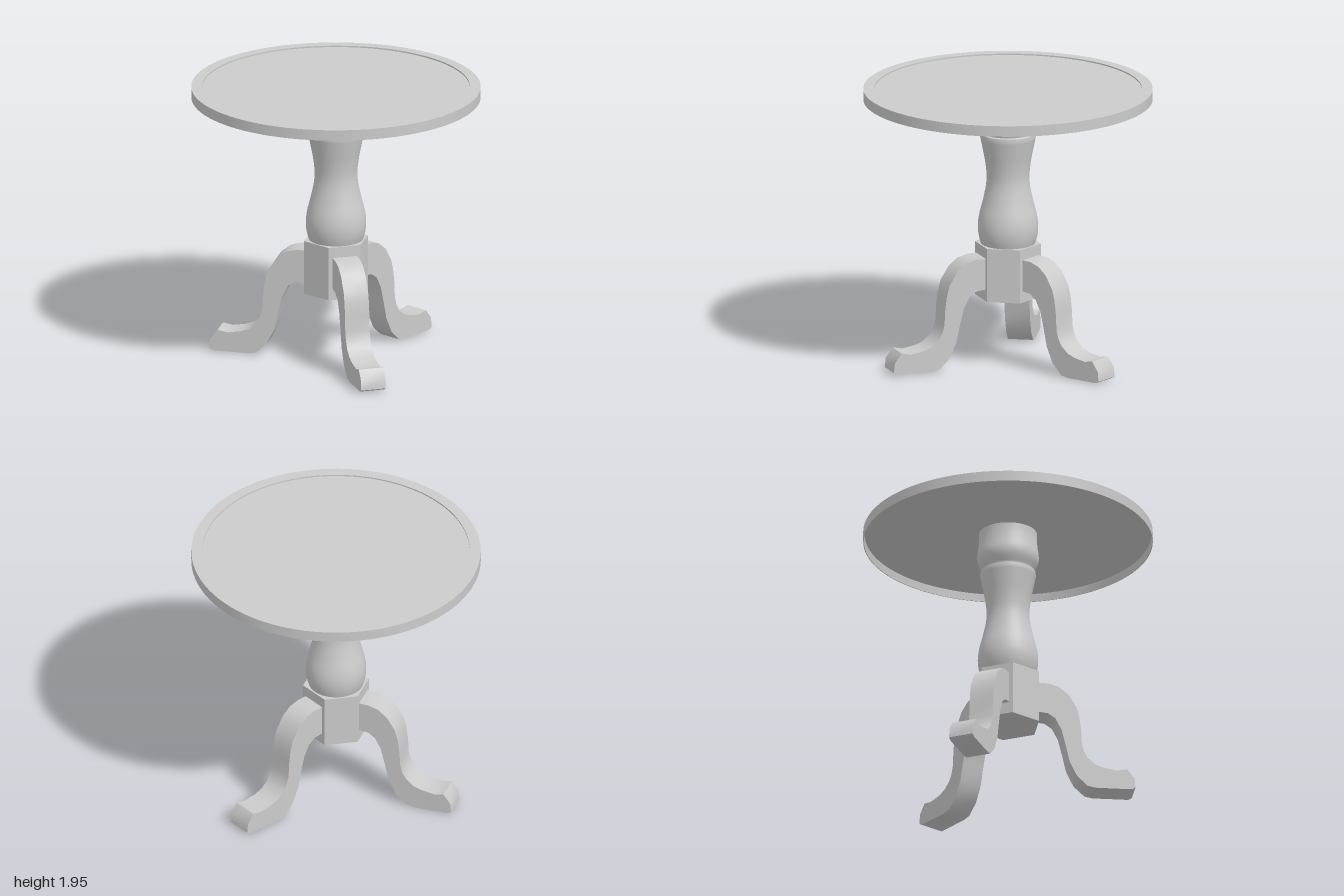
import * as THREE from 'three';
import { toCreasedNormals } from 'three/addons/utils/BufferGeometryUtils.js';

const material = new THREE.MeshStandardMaterial({ color: 0xcccccc });
const points = (list) => list.map(([x, y]) => new THREE.Vector2(x, y));

function addMesh(parent, name, geometry, crease = 0.6) {
  const mesh = new THREE.Mesh(toCreasedNormals(geometry, crease), material);
  mesh.name = name;
  parent.add(mesh);
  return mesh;
}

export function createModel() {
  const table = new THREE.Group();
  table.name = 'pedestalTable';

  // Round top: thin panel, slightly sunk inside a flat border, with a hollow underside
  const topProfile = points([
    [0, 1.93], [0.99, 1.93], [0.995, 1.875], [1, 1.875],
    [1, 1.95], [0.925, 1.95], [0.925, 1.94], [0, 1.94],
  ]);
  addMesh(table, 'tableTop', new THREE.LatheGeometry(topProfile, 96));

  // Turned column: long baluster below, short bulb above
  const baluster = new THREE.SplineCurve(points([
    [0.185, 0.84], [0.202, 0.9], [0.209, 0.97], [0.2, 1.05], [0.175, 1.15],
    [0.154, 1.25], [0.148, 1.33], [0.158, 1.43], [0.177, 1.53], [0.193, 1.61],
  ])).getPoints(36);
  const bulb = new THREE.SplineCurve(points([
    [0.178, 1.645], [0.205, 1.7], [0.213, 1.75], [0.205, 1.82], [0.2, 1.88], [0.2, 1.935],
  ])).getPoints(20);
  const columnProfile = [
    ...points([[0, 0.84]]), ...baluster,
    ...points([[0.19, 1.635], [0.178, 1.64]]), ...bulb,
  ];
  addMesh(table, 'column', new THREE.LatheGeometry(columnProfile, 48));

  // Hexagonal block that carries the legs
  const block = addMesh(table, 'hexagonalBlock', new THREE.CylinderGeometry(0.231, 0.231, 0.38, 6));
  block.position.y = 0.66;

  // Three curved legs, each an S-shaped side outline given thickness
  const width = 0.176;
  const outline = new THREE.Shape(points([
    [0.15, 0.775], [0.27, 0.772], [0.34, 0.752], [0.406, 0.7], [0.465, 0.605],
    [0.485, 0.53], [0.497, 0.44], [0.503, 0.326], [0.518, 0.27], [0.545, 0.222],
    [0.6, 0.176], [0.66, 0.155], [0.75, 0.141], [0.82, 0.155], [0.87, 0.088],
    [0.877, 0.02], [0.85, 0.005], [0.6, 0], [0.545, 0.01], [0.47, 0.08],
    [0.417, 0.19], [0.39, 0.31], [0.36, 0.43], [0.318, 0.51], [0.267, 0.545],
    [0.2, 0.553], [0.15, 0.553],
  ]));
  const legGeometry = new THREE.ExtrudeGeometry(outline, { depth: width, bevelEnabled: false });
  legGeometry.translate(0, 0, -width / 2);
  for (let i = 0; i < 3; i++) {
    addMesh(table, `leg${i + 1}`, legGeometry).rotation.y = (i * Math.PI * 2) / 3;
  }

  return table;
}
